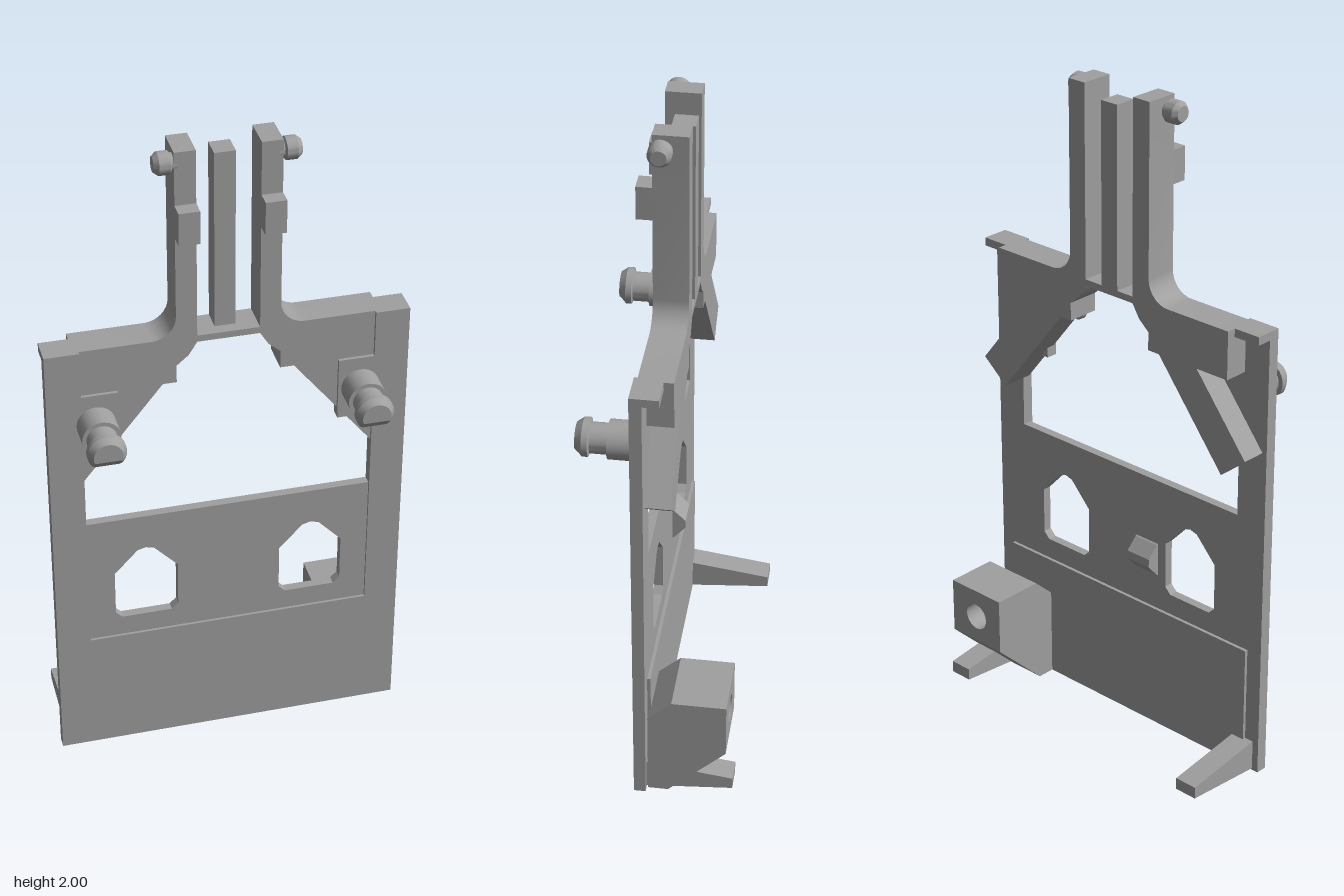
import * as THREE from 'three';
import { toCreasedNormals } from 'three/addons/utils/BufferGeometryUtils.js';

export function createModel() {
  const group = new THREE.Group();
  const grey = new THREE.MeshStandardMaterial({ color: 0xa0a0a0 });
  grey.name = 'plain grey';

  const add = (name, geometry) => {
    const mesh = new THREE.Mesh(geometry, grey);
    mesh.name = name;
    group.add(mesh);
    return mesh;
  };
  // box given by its lower and upper limits
  const box = (name, x0, x1, y0, y1, z0, z1) =>
    add(name, new THREE.BoxGeometry(x1 - x0, y1 - y0, z1 - z0)
      .translate((x0 + x1) / 2, (y0 + y1) / 2, (z0 + z1) / 2));
  const outline = (pts, Type = THREE.Shape) => new Type(pts.map(p => new THREE.Vector2(...p)));
  const extrude = (shape, z0, z1) =>
    new THREE.ExtrudeGeometry(shape, { depth: z1 - z0, bevelEnabled: false, curveSegments: 10 }).translate(0, 0, z0);
  // side profile of [z, y] points swept from x0 to x1
  const sweepX = (name, pts, x0, x1) =>
    add(name, extrude(outline(pts.map(([z, y]) => [-z, y])), x0, x1).rotateY(Math.PI / 2));
  const lathe = pts => new THREE.LatheGeometry(pts.map(p => new THREE.Vector2(...p)), 28);

  // middle panel with two pointed windows
  const panel = outline([[-0.425, 0.4], [0.425, 0.4], [0.425, 0.825], [-0.425, 0.825]]);
  for (const s of [-1, 1]) {
    panel.holes.push(outline([[0.155, 0.485], [0.175, 0.465], [0.325, 0.465], [0.345, 0.485], [0.345, 0.63],
      [0.275, 0.705], [0.25, 0.712], [0.225, 0.705], [0.155, 0.63]].map(([x, y]) => [s * x, y]), THREE.Path));
  }
  add('windowPanel', extrude(panel, 0.025, 0.052));

  // thicker lower panel and its raised back
  box('lowerPanel', -0.525, 0.525, 0, 0.4, 0.025, 0.06);
  box('lowerPanelBack', -0.475, 0.475, 0.005, 0.4, 0.015, 0.03);

  // upper bracket with diagonal braces and upright arms, one half mirrored
  const half = [[0.09, 1.42], [0.09, 2], [0.15, 2], [0.15, 1.49]];
  for (let i = 1; i <= 8; i++) {
    const a = (i / 8) * Math.PI / 2;
    half.push([0.22 - 0.07 * Math.cos(a), 1.49 - 0.07 * Math.sin(a)]);
  }
  half.push([0.44, 1.42], [0.44, 1.275], [0.33, 1.275], [0.51, 1.05], [0.425, 0.98], [0.19, 1.275],
    [0.15, 1.275], [0.15, 1.33], [0.115, 1.36], [0.09, 1.4]);
  const mirrored = half.map(([x, y]) => [-x, y]).reverse();
  add('bracketAndArms', toCreasedNormals(extrude(outline([...half, ...mirrored]), -0.05, 0.05), 0.5));
  box('middlePost', -0.032, 0.028, 1.41, 1.965, -0.05, 0.015);

  for (const s of [-1, 1]) {
    const side = s > 0 ? 'left' : 'right';
    const sideBox = (name, x0, x1, ...rest) =>
      box(side + name, Math.min(s * x0, s * x1), Math.max(s * x0, s * x1), ...rest);
    sideBox('Rail', 0.425, 0.525, 0.4, 1.42, 0.025, 0.06);
    sideBox('CornerLedge', 0.43, 0.525, 1.395, 1.42, -0.022, 0.06);
    sideBox('PegPad', 0.32, 0.425, 1.08, 1.275, 0.025, 0.06);
    sideBox('ArmTab', 0.09, 0.15, 1.74, 1.84, 0.04, 0.095);

    // pin at the top of each arm
    const pin = lathe([[0, 0.14], [0.026, 0.14], [0.026, 0.155], [0.033, 0.16], [0.033, 0.19], [0.022, 0.204], [0, 0.204]]);
    pin.rotateZ(-s * Math.PI / 2).translate(0, 1.96, 0.025);
    add(side + 'ArmPin', toCreasedNormals(pin, 0.5));

    // front peg with a grooved neck, cut flat underneath
    const peg = lathe([[0, 0.05], [0.056, 0.05], [0.056, 0.137], [0.044, 0.137], [0.044, 0.187], [0.056, 0.19],
      [0.056, 0.207], [0.042, 0.227], [0, 0.227]]).rotateX(Math.PI / 2);
    const p = peg.attributes.position;
    for (let i = 0; i < p.count; i++) {
      const z = p.getZ(i);
      if (z > 0.14) p.setY(i, Math.max(p.getY(i), z > 0.22 ? -0.015 : -0.04));
    }
    add(side + 'Peg', toCreasedNormals(peg.translate(s * 0.385, 1.18, 0), 0.5));

    // tapered foot reaching back
    const x = s * 0.468;
    sweepX(side + 'Foot', [[0.03, 0.005], [0.03, 0.1], [-0.23, 0.065], [-0.23, 0.028]], x - 0.036, x + 0.036);
  }

  // rear block with a blind round socket
  sweepX('blockBody', [[0.02, 0.005], [-0.04, 0.005], [-0.21, 0.17], [-0.05, 0.17], [-0.05, 0.345], [0.02, 0.28]], 0.31, 0.512);
  const face = outline([[0.31, 0.17], [0.512, 0.17], [0.512, 0.345], [0.31, 0.345]]);
  face.holes.push(new THREE.Path().absarc(0.411, 0.255, 0.042, 0, Math.PI * 2, true));
  add('blockSocket', toCreasedNormals(extrude(face, -0.21, -0.05), 0.7));

  // small catch on the back of the window panel
  sweepX('backCatch', [[0.03, 0.51], [0.02, 0.515], [-0.015, 0.555], [-0.015, 0.58], [0.02, 0.615], [0.03, 0.62]], -0.125, -0.04);

  return group;
}
